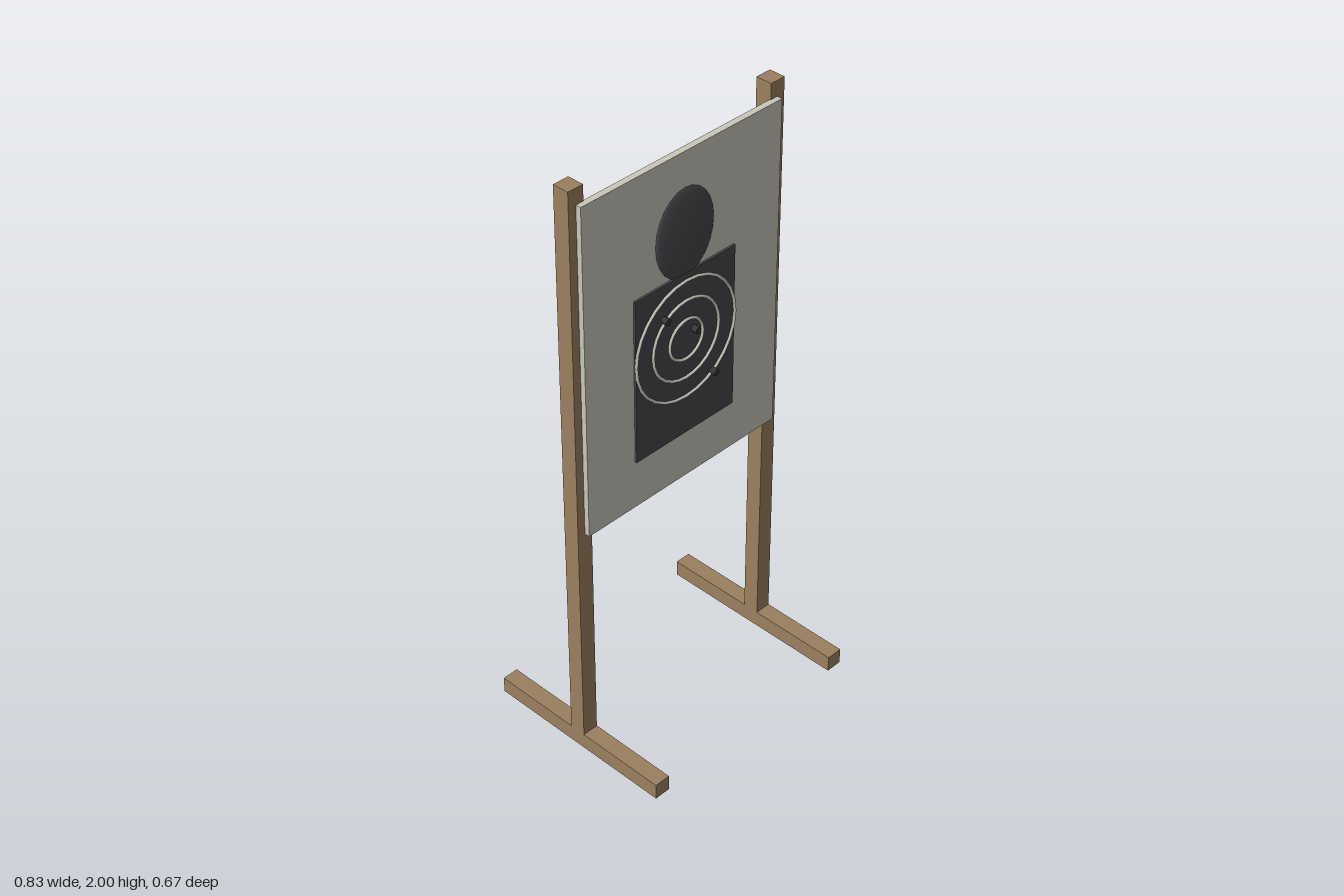
import * as THREE from 'three';

export function createModel() {
  const group = new THREE.Group();
  const material = (name, color, flatShading = false) => {
    const m = new THREE.MeshStandardMaterial({ color, flatShading });
    m.name = name;
    return m;
  };
  const wood = material('wood', 0x9c8060);
  const board = material('pale board', 0xcac7ba);
  const dark = material('dark grey', 0x48474c);
  const holeColor = material('bullet hole black', 0x38373a);

  const add = (name, geometry, mat, x, y, z) => {
    const mesh = new THREE.Mesh(geometry, mat);
    mesh.name = name;
    mesh.position.set(x, y, z);
    group.add(mesh);
    return mesh;
  };
  const box = (w, h, d) => new THREE.BoxGeometry(w, h, d);

  // Wooden frame: an upright post on a long foot at each side
  for (const [side, s] of [['left', 1], ['right', -1]]) {
    add(side + 'Post', box(0.055, 1.945, 0.055), wood, s * 0.388, 1.0275, -0.002);
    add(side + 'Foot', box(0.055, 0.055, 0.666), wood, s * 0.388, 0.0275, 0);
  }

  // Backing panel on the front of the posts
  add('panel', box(0.776, 1.113, 0.021), board, 0, 1.392, 0.0325);

  // Silhouette: flat torso and flattened oval head
  add('torso', box(0.4, 0.557, 0.008), dark, 0, 1.28, 0.046);
  const head = add('head', new THREE.SphereGeometry(1, 16, 12), dark, 0, 1.69, 0.045);
  head.scale.set(0.115, 0.146, 0.009);

  // Scoring rings
  [0.067, 0.133, 0.2].forEach((radius, i) => {
    add('scoringRing' + (i + 1), new THREE.TorusGeometry(radius, 0.0048, 6, 28), board, 0, 1.335, 0.052);
  });

  // Bullet holes: short plugs facing forward
  const holeGeometry = new THREE.CylinderGeometry(0.011, 0.011, 0.022, 8).rotateX(Math.PI / 2);
  [[-0.089, 1.446], [0.032, 1.357], [0.109, 1.169]].forEach(([x, y], i) => {
    add('bulletHole' + (i + 1), holeGeometry, holeColor, x, y, 0.059);
  });

  return group;
}
